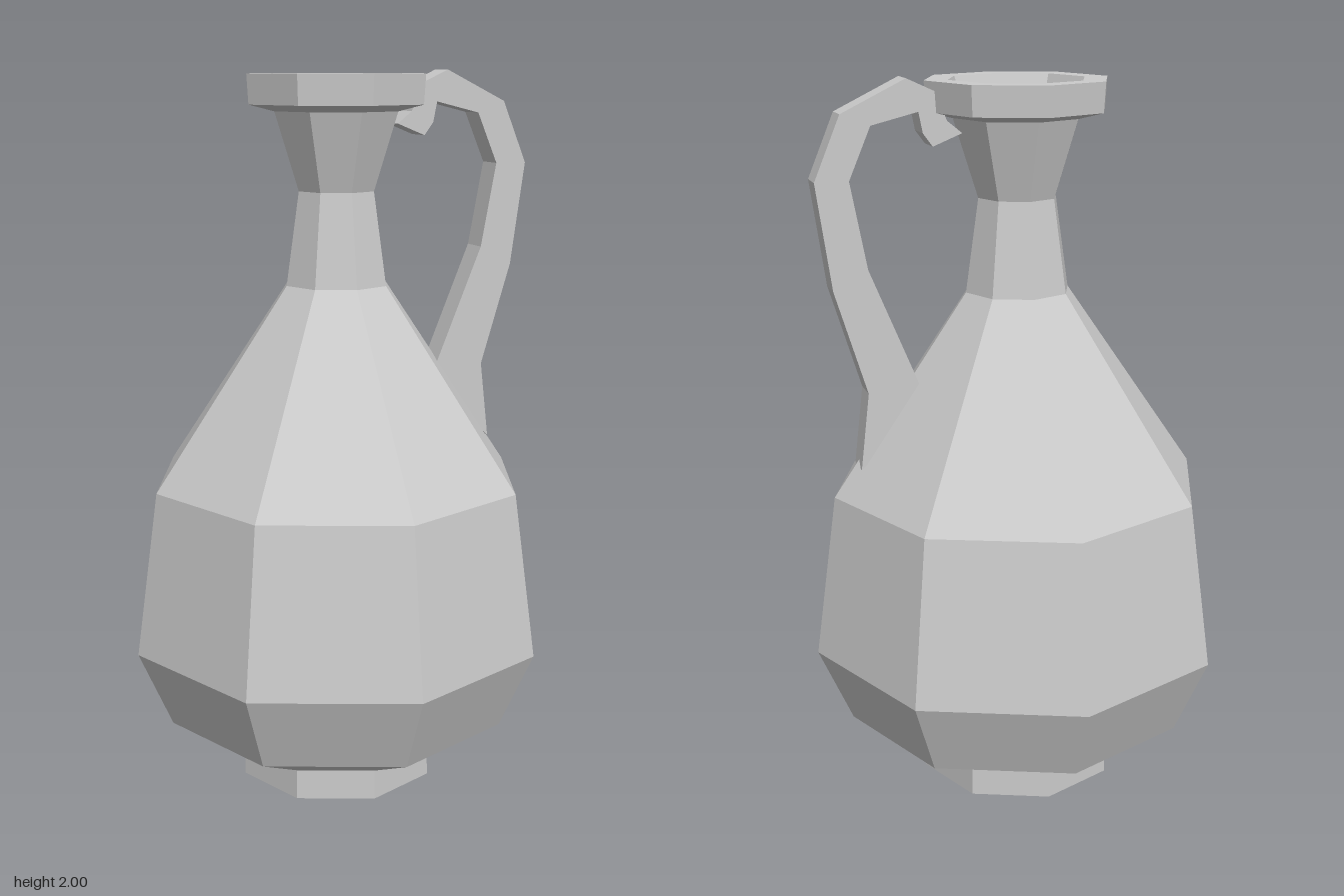
import * as THREE from 'three';

const material = new THREE.MeshStandardMaterial({ color: 0xcccccc, flatShading: true });

function addMesh(group, name, geometry) {
  const mesh = new THREE.Mesh(geometry, material);
  mesh.name = name;
  group.add(mesh);
  return mesh;
}

const points = (list) => list.map(([x, y]) => new THREE.Vector2(x, y));

export function createModel() {
  const jug = new THREE.Group();
  jug.name = 'jug';

  // Eight-sided vessel: foot, belly, neck, rim and funnel inside the mouth
  const profile = points([
    [0, 0], [0.287, 0], [0.285, 0.085],
    [0.5, 0.195], [0.595, 0.415], [0.53, 0.875],
    [0.147, 1.425], [0.11, 1.68], [0.178, 1.892],
    [0.25, 1.91], [0.255, 1.99],
    [0.19, 1.99], [0.075, 1.68], [0, 1.68],
  ]);
  addMesh(jug, 'vessel', new THREE.LatheGeometry(profile, 8));

  // Flat strap handle: side outline, hooked under the rim and sunk into the shoulder
  const outline = new THREE.Shape(points([
    [0.164, 1.857], [0.244, 1.825], [0.27, 1.86], [0.281, 1.915],
    [0.408, 1.884], [0.468, 1.745], [0.425, 1.512], [0.293, 1.19],
    [0.36, 1.05], [0.46, 0.96],
    [0.434, 1.175], [0.52, 1.46], [0.559, 1.745], [0.487, 1.915],
    [0.312, 2.0], [0.235, 1.965], [0.205, 1.89],
  ]));
  const width = 0.08;
  const strap = new THREE.ExtrudeGeometry(outline, { depth: width, bevelEnabled: false });
  strap.translate(0, 0, -width / 2);
  addMesh(jug, 'handle', strap);

  return jug;
}
